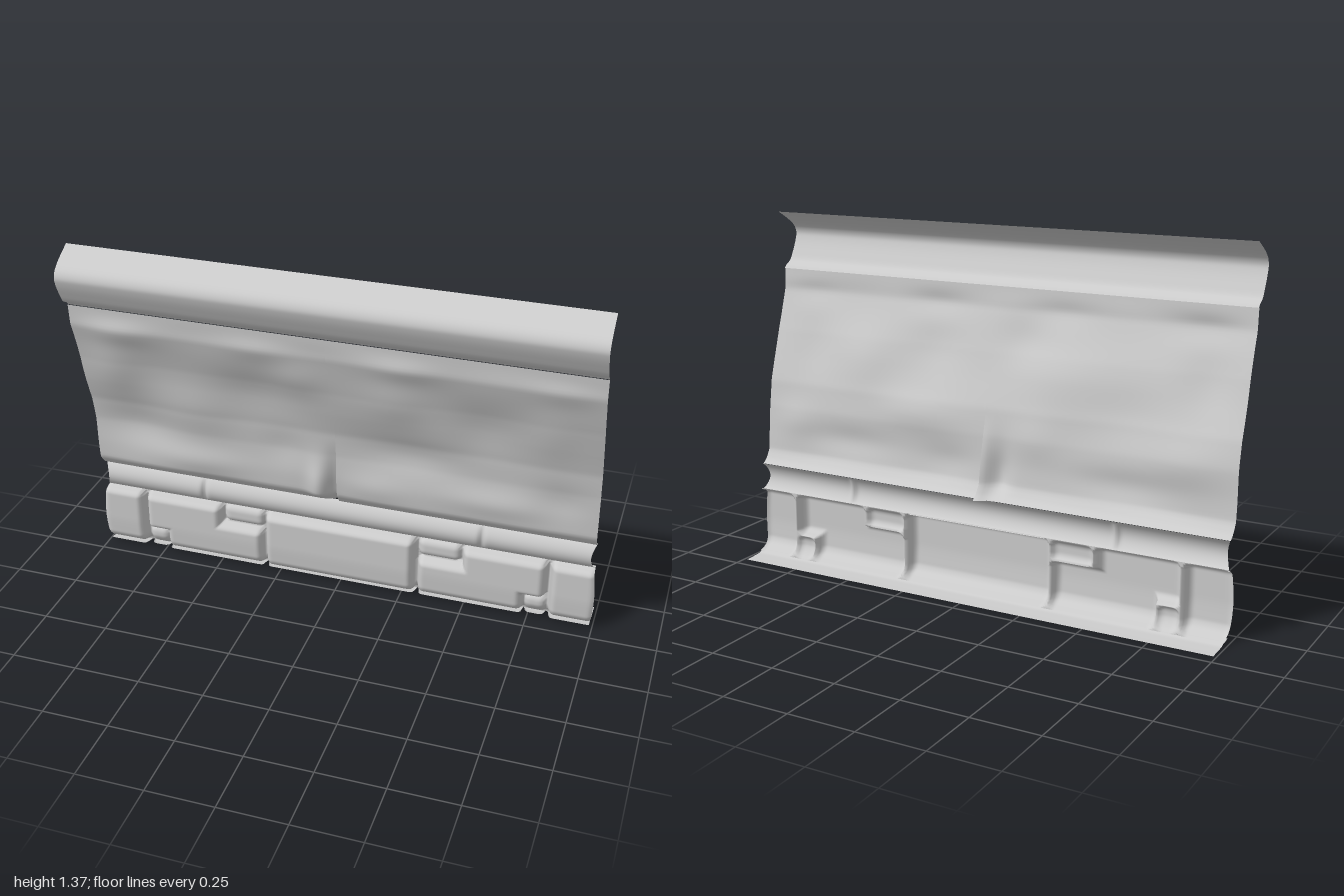
import * as THREE from 'three';

const W = 0.988; // half width of the wall
const smooth = (a, b, v) => THREE.MathUtils.smoothstep(v, a, b);

// A thin sheet whose vertices are placed by rule(x, t), t running 0 (bottom) to 1 (top)
function sheet(name, x0, x1, nx, ny, rule) {
  const geo = new THREE.PlaneGeometry(1, 1, nx, ny);
  const p = geo.attributes.position;
  for (let i = 0; i < p.count; i++) {
    const x = x0 + (p.getX(i) + 0.5) * (x1 - x0);
    p.setXYZ(i, ...rule(x, p.getY(i) + 0.5));
  }
  geo.computeVertexNormals();
  const mesh = new THREE.Mesh(geo, new THREE.MeshStandardMaterial({
    color: 0xcccccc, roughness: 0.9, side: THREE.DoubleSide }));
  mesh.name = name;
  return mesh;
}

// Smooth curve through [z, y] points
const profile = pts => new THREE.CatmullRomCurve3(
  pts.map(([z, y]) => new THREE.Vector3(0, y, z)), false, 'centripetal');

// z of a piecewise linear [y, z] list
function lookup(list, y) {
  for (let i = 1; i < list.length; i++) {
    const [ya, za] = list[i - 1], [yb, zb] = list[i];
    if (y <= yb) return za + (zb - za) * Math.max(0, (y - ya) / (yb - ya));
  }
  return list[list.length - 1][1];
}

// Distance inside (positive) a rounded rectangle
function inside(x, y, [x0, x1, y0, y1], r = 0.025) {
  const dx = Math.abs(x - (x0 + x1) / 2) - (x1 - x0) / 2 + r;
  const dy = Math.abs(y - (y0 + y1) / 2) - (y1 - y0) / 2 + r;
  return r - Math.hypot(Math.max(dx, 0), Math.max(dy, 0)) - Math.min(Math.max(dx, dy), 0);
}

// Rounded edge: steep at the joint, flat on the face
function pillow(d, width) {
  const k = 1 - THREE.MathUtils.clamp(d / width, 0, 1);
  return Math.sqrt(1 - k * k);
}

// Foundation stones, given for one half and mirrored: rectangles per stone and relief
const stones = [
  { rects: [[-0.305, 0.305, 0.012, 0.268]], depth: 0.056 },
  { rects: [[0.315, 0.73, 0.012, 0.185], [0.49, 0.815, 0.1, 0.265]], depth: 0.05 },
  { rects: [[0.315, 0.482, 0.19, 0.265]], depth: 0.024 },
  { rects: [[0.735, 0.815, 0.012, 0.095]], depth: 0.02 },
  { rects: [[0.828, 1.0, 0.012, 0.265]], depth: 0.046 },
];
function stoneRelief(x, y) {
  let h = 0;
  for (const s of stones) {
    const d = Math.max(...s.rects.map(r => inside(Math.abs(x), y, r)));
    h = Math.max(h, s.depth * pillow(d, 0.028));
  }
  return h;
}

// Soft dents and swellings in the plaster: x, y, height, width x, width y
const bumps = [
  [-0.85, 0.88, 0.016, 0.1, 0.12], [-0.3, 0.85, -0.014, 0.16, 0.1],
  [-0.55, 0.72, 0.012, 0.15, 0.1], [-0.8, 0.6, -0.014, 0.15, 0.08],
  [-0.55, 0.48, 0.016, 0.2, 0.06], [-0.2, 0.6, -0.012, 0.1, 0.08],
  [-0.12, 0.95, 0.012, 0.1, 0.08], [-0.07, 0.45, 0.024, 0.04, 0.1],
  [0.25, 0.9, 0.016, 0.12, 0.1], [0.55, 0.82, -0.016, 0.12, 0.12],
  [0.8, 0.85, 0.012, 0.1, 0.12], [0.3, 0.65, -0.014, 0.18, 0.07],
  [0.6, 0.5, 0.016, 0.2, 0.06], [0.15, 0.48, 0.01, 0.12, 0.06],
  [0.85, 0.55, -0.012, 0.1, 0.08], [-0.8, 1.05, 0.01, 0.13, 0.05],
  [-0.25, 1.06, 0.008, 0.13, 0.05], [0.28, 1.06, 0.01, 0.13, 0.05],
  [0.85, 1.06, 0.008, 0.12, 0.05],
];
const wallLine = [[0.37, -0.072], [0.385, -0.05], [0.42, -0.026], [0.5, -0.02], [0.6, -0.014],
  [0.7, 0.0], [0.8, 0.03], [0.9, 0.058], [1.0, 0.092], [1.06, 0.112], [1.14, 0.118]];

function plaster(x, t, side) {
  const y = 0.37 + 0.77 * t;
  let b = 0;
  for (const [bx, by, h, sx, sy] of bumps)
    b += h * Math.exp(-(((x - bx) / sx) ** 2) - ((y - by) / sy) ** 2);
  b += 0.004 * Math.sin(9 * x + 5 * y) * Math.sin(13 * y - 4 * x);
  b *= smooth(0.37, 0.42, y) * (1 - smooth(1.06, 1.14, y));
  // the left panel sinks back along the crack
  if (side < 0) b -= 0.028 * Math.exp(-((x / 0.035) ** 2)) * (1 - smooth(0.45, 0.68, y));
  return [x, y, lookup(wallLine, y) + b];
}

export function createModel() {
  const group = new THREE.Group();
  group.name = 'wallSection';

  // Curved crown moulding along the top
  const crown = profile([[0.113, 1.14], [0.125, 1.152], [0.15, 1.168], [0.172, 1.205],
    [0.192, 1.25], [0.197, 1.275], [0.187, 1.3], [0.155, 1.327], [0.085, 1.367]]);
  group.add(sheet('crownMoulding', -W, W, 1, 40, (x, t) => {
    const q = crown.getPoint(t);
    return [x, q.y, q.z];
  }));

  // Uneven plaster, two panels meeting at a crack
  group.add(sheet('plasterLeftPanel', -W, 0, 90, 64, (x, t) => plaster(x, t, -1)));
  group.add(sheet('plasterRightPanel', 0, W, 90, 64, (x, t) => plaster(x, t, 1)));

  // Rounded ledge course of three long stones
  group.add(sheet('ledgeCourse', -W, W, 260, 20, (x, t) => {
    const y = 0.265 + 0.107 * t;
    const joint = pillow(Math.abs(Math.abs(x) - 0.56), 0.025);
    const round = Math.sin(Math.PI * t) ** 0.7;
    const edge = 1 - 0.016 * Math.sin(Math.PI * t) * smooth(0.93, W, Math.abs(x));
    return [x * edge, y, -0.08 + 0.03 * round * (0.15 + 0.85 * joint)];
  }));

  // Foundation stones standing out from the joint surface
  group.add(sheet('foundationStones', -W, W, 300, 52, (x, t) => {
    const y = 0.008 + 0.262 * t;
    const back = -0.086 - 0.022 * (1 - smooth(0.008, 0.06, y));
    const lean = -0.008 * (1 - smooth(0.02, 0.14, y));
    const h = stoneRelief(x, y);
    const edge = 1 + 0.011 * Math.sin(Math.PI * t) * smooth(0.95, W, Math.abs(x));
    return [x * edge, y, back + h + (h > 0 ? lean * h / 0.056 : 0)];
  }));

  // Flat footing flange running backwards under the stones
  const foot = profile([[-0.2, 0], [-0.14, 0.002], [-0.118, 0.004], [-0.108, 0.008]]);
  group.add(sheet('footingFlange', -W, W, 1, 10, (x, t) => {
    const q = foot.getPoint(t);
    return [x, q.y, q.z];
  }));
  // Undersides of the stones down to the footing
  group.add(sheet('stoneUndersides', -W, W, 300, 4, (x, t) => {
    const reach = 0.05 * pillow(Math.max(0, stoneRelief(x, 0.03)), 0.06);
    return [x, 0.008 + 0.006 * t * t, -0.108 + reach * t];
  }));
  return group;
}
